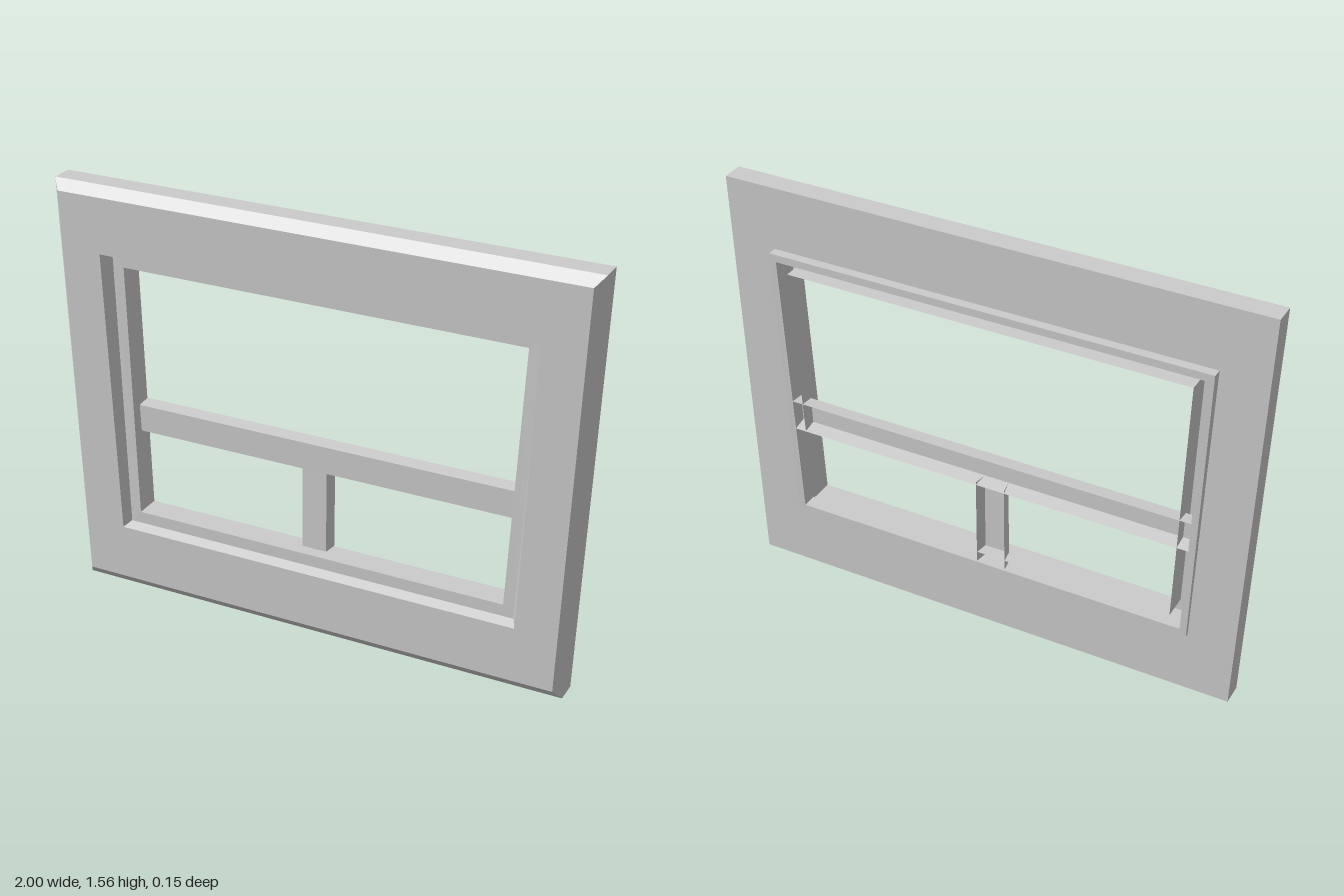
import * as THREE from 'three';

const material = new THREE.MeshStandardMaterial({
  color: 0xcccccc, flatShading: true, side: THREE.DoubleSide,
});

// Skins a surface between successive rows of points.
function skin(name, rows, closed) {
  const pos = [];
  for (let r = 0; r + 1 < rows.length; r++) {
    const a = rows[r], b = rows[r + 1], n = a.length;
    for (let i = 0; i < (closed ? n : n - 1); i++) {
      const j = (i + 1) % n;
      pos.push(...a[i], ...a[j], ...b[j], ...a[i], ...b[j], ...b[i]);
    }
  }
  const geometry = new THREE.BufferGeometry();
  geometry.setAttribute('position', new THREE.Float32BufferAttribute(pos, 3));
  geometry.computeVertexNormals();
  const mesh = new THREE.Mesh(geometry, material);
  mesh.name = name;
  return mesh;
}

// Trapezoid loop: half widths at bottom and top, heights, depth at bottom and top.
const loop = (wb, wt, y0, y1, zb, zt = zb) =>
  [[-wb, y0, zb], [wb, y0, zb], [wt, y1, zt], [-wt, y1, zt]];

export function createModel() {
  const group = new THREE.Group();

  // Outlines shared by neighbouring parts
  const outer = (z) => loop(0.945, 1, 0, 1.56, z);
  const rimOuter = (zb, zt) => loop(0.78, 0.82, 0.24, 1.325, zb, zt);
  const rimInner = (zb, zt) => loop(0.755, 0.795, 0.265, 1.297, zb, zt);
  const opening = (zb, zt) => loop(0.715, 0.752, 0.31, 1.26, zb, zt);
  const frontEdge = loop(0.772, 0.812, 0.25, 1.318, 0.075);

  // Wide tapered surround with a chamfered front edge
  group.add(skin('surround', [
    rimOuter(-0.04), outer(-0.04), outer(0.04),
    loop(0.92, 0.97, 0.04, 1.525, 0.075), frontEdge,
  ], true));

  // Slightly leaning rim: bevel into the opening and raised lip at the back
  group.add(skin('rim', [
    frontEdge, rimInner(0.04, 0.02), rimInner(-0.055, -0.075),
    rimOuter(-0.055, -0.075), rimOuter(-0.04),
  ], true));

  // Thin sash: face plate with a flange running back around the opening
  group.add(skin('sash', [
    rimInner(0.04, 0.02), opening(0.04, 0.02), opening(-0.055, -0.075),
  ], true));

  // Cross bar: channel open at the back
  const barSection = (x) => [
    [x, 0.727, -0.065], [x, 0.722, -0.01], [x, 0.62, -0.01], [x, 0.61, -0.063],
  ];
  group.add(skin('crossBar', [barSection(0.775), barSection(-0.775)], false));

  // Short mullion below the cross bar, same channel shape
  const mullionSection = (y, z) => [
    [-0.08, y, z - 0.05], [-0.072, y, z], [0.022, y, z], [0.03, y, z - 0.05],
  ];
  group.add(skin('mullion', [mullionSection(0.27, -0.006), mullionSection(0.62, -0.012)], false));

  return group;
}
